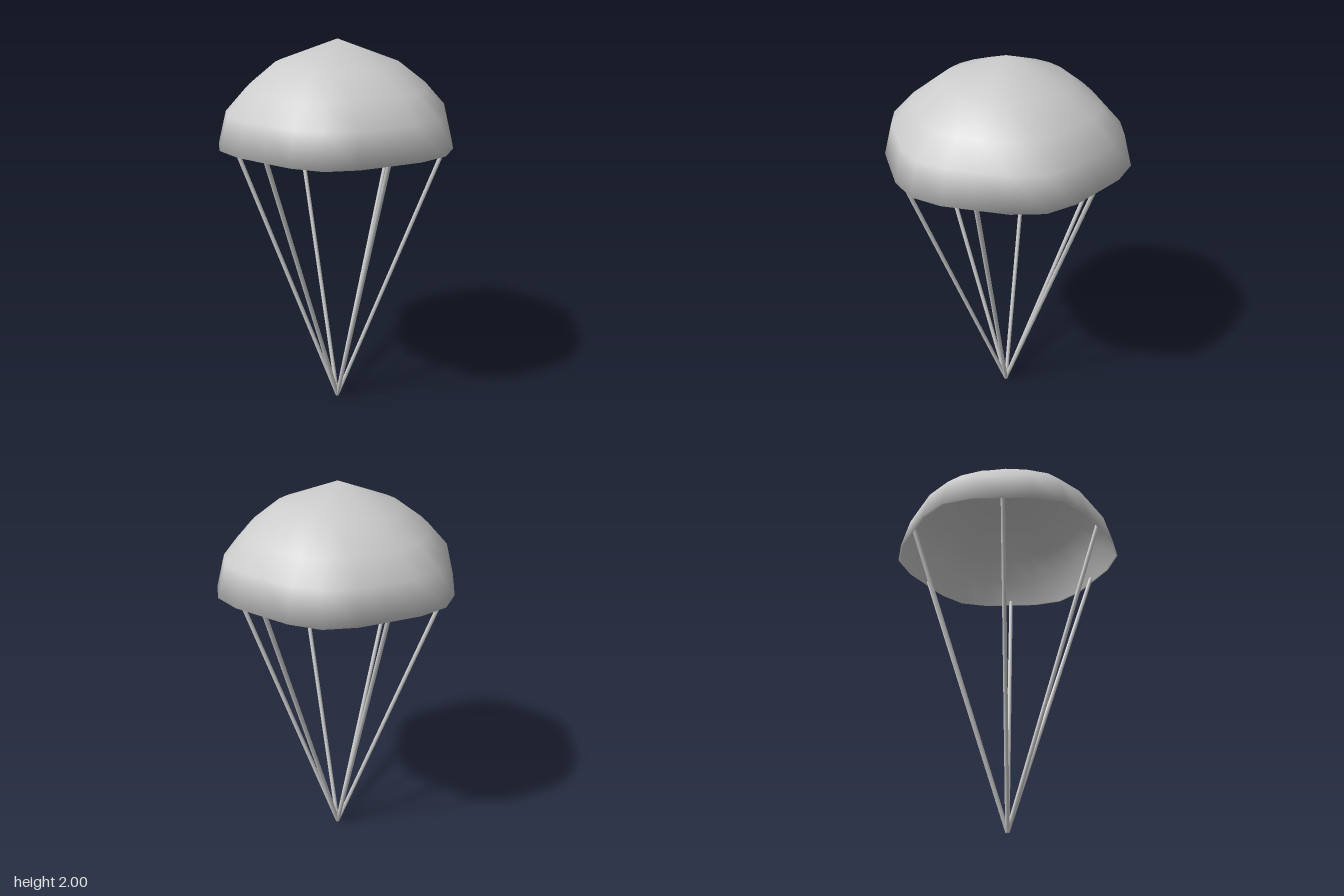
import * as THREE from 'three';

const SEGMENTS = 24;
const CORDS = 6;
const SHELL = 0.012;

// Outer dome rings: [radius, height, how strongly the ring is scalloped into six gores]
const RINGS = [
  [0.305, 1.887, 0], [0.456, 1.78, 0.7], [0.567, 1.668, 1], [0.611, 1.51, 1],
];

// Gores are widest at 0, 60, 120... degrees and pulled in where the cords attach
function ringRadius(radius, scallop, angle) {
  return radius * (1 - scallop * 0.032 * (1 - Math.cos(6 * angle)));
}

// Thin solid dome: outer skin down to the rim, then the inner skin back up
function canopyGeometry() {
  const inner = RINGS.map(([r, y, s], i) => [r - SHELL, i === 3 ? y : y - SHELL, s]).reverse();
  const rings = [...RINGS, ...inner];
  const positions = [0, 2, 0];
  for (const [r, y, s] of rings) {
    for (let i = 0; i < SEGMENTS; i++) {
      const a = (i / SEGMENTS) * Math.PI * 2;
      const d = ringRadius(r, s, a);
      positions.push(d * Math.cos(a), y, d * Math.sin(a));
    }
  }
  positions.push(0, 2 - SHELL, 0);
  const last = positions.length / 3 - 1;
  const at = (ring, i) => 1 + ring * SEGMENTS + (i % SEGMENTS);

  const index = [];
  for (let i = 0; i < SEGMENTS; i++) {
    index.push(0, at(0, i + 1), at(0, i));
    for (let k = 0; k < rings.length - 1; k++) {
      index.push(at(k, i), at(k, i + 1), at(k + 1, i));
      index.push(at(k, i + 1), at(k + 1, i + 1), at(k + 1, i));
    }
    index.push(last, at(rings.length - 1, i), at(rings.length - 1, i + 1));
  }
  const geometry = new THREE.BufferGeometry();
  geometry.setAttribute('position', new THREE.Float32BufferAttribute(positions, 3));
  geometry.setIndex(index);
  geometry.computeVertexNormals();

  // Roll the shading under along the outer rim
  const normals = geometry.attributes.normal;
  for (let i = 0; i < SEGMENTS; i++) {
    const a = (i / SEGMENTS) * Math.PI * 2;
    normals.setXYZ(at(3, i), 0.9 * Math.cos(a), -0.436, 0.9 * Math.sin(a));
  }
  return geometry;
}

// Straight round cord between two points
function cord(from, to, material) {
  const dir = to.clone().sub(from);
  const mesh = new THREE.Mesh(new THREE.CylinderGeometry(0.011, 0.011, dir.length(), 8), material);
  mesh.position.copy(from).addScaledVector(dir, 0.5);
  mesh.quaternion.setFromUnitVectors(new THREE.Vector3(0, 1, 0), dir.normalize());
  return mesh;
}

export function createModel() {
  const model = new THREE.Group();
  model.name = 'parachute';
  const material = new THREE.MeshStandardMaterial({ color: 0xcccccc });

  const canopy = new THREE.Mesh(canopyGeometry(), material);
  canopy.name = 'canopy';
  model.add(canopy);

  // Six suspension cords meeting at the bottom
  const cords = new THREE.Group();
  cords.name = 'cords';
  for (let i = 0; i < CORDS; i++) {
    const a = ((i + 0.5) / CORDS) * Math.PI * 2;
    const top = new THREE.Vector3(0.555 * Math.cos(a), 1.525, 0.555 * Math.sin(a));
    const line = cord(new THREE.Vector3(0, 0.004, 0), top, material);
    line.name = `cord${i + 1}`;
    cords.add(line);
  }
  model.add(cords);
  return model;
}
